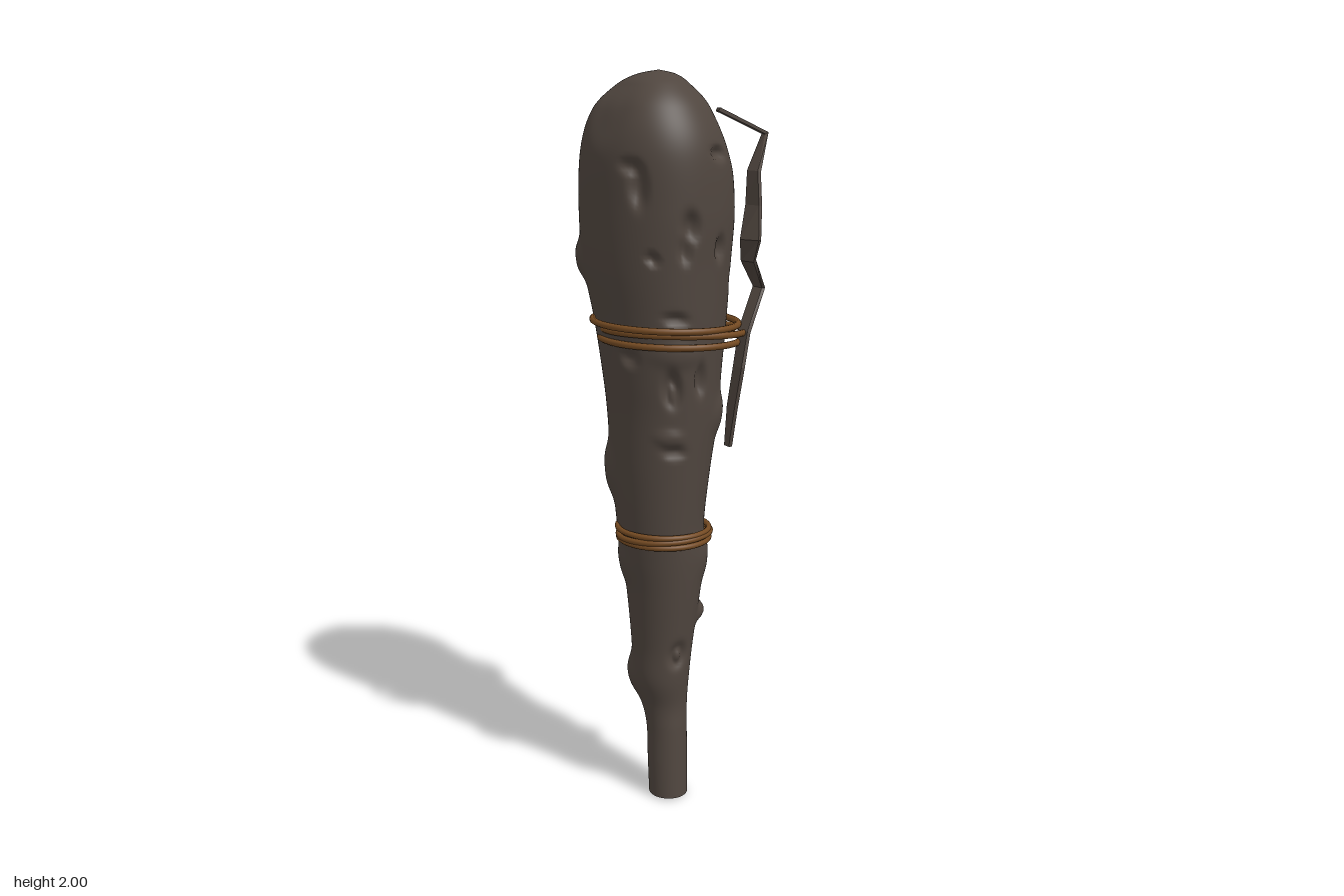
import * as THREE from 'three';

const bark = new THREE.MeshStandardMaterial({ color: 0x50463f });
bark.name = 'dark bark';
const cord = new THREE.MeshStandardMaterial({ color: 0x744a22 });
cord.name = 'brown cord';

// Club outline: [y, minX, maxX, frontZ, backZ]
const rows = [
  [0.005, -0.073, 0.035, 0.125, 0.008], [0.1, -0.075, 0.036, 0.12, 0.0], [0.2, -0.076, 0.037, 0.115, -0.012],
  [0.27, -0.088, 0.04, 0.112, -0.035], [0.35, -0.11, 0.046, 0.125, -0.055], [0.45, -0.113, 0.058, 0.13, -0.07],
  [0.6, -0.125, 0.08, 0.145, -0.093], [0.7, -0.14, 0.092, 0.155, -0.108], [0.8, -0.15, 0.09, 0.163, -0.12],
  [0.95, -0.162, 0.108, 0.175, -0.14], [1.1, -0.17, 0.132, 0.185, -0.16], [1.2, -0.18, 0.138, 0.193, -0.172],
  [1.35, -0.2, 0.153, 0.205, -0.2], [1.5, -0.226, 0.166, 0.216, -0.231], [1.65, -0.235, 0.176, 0.226, -0.246],
  [1.8, -0.23, 0.158, 0.225, -0.226], [1.9, -0.2, 0.112, 0.19, -0.177], [1.96, -0.142, 0.055, 0.135, -0.115],
  [1.988, -0.09, 0.018, 0.075, -0.055], [2.0, -0.03, -0.03, 0.01, 0.01],
];

// Knots (positive) and hollows (negative): [angle in degrees from +x towards +z, y, height, width, half height]
const knots = [
  [195, 1.51, 0.018, 0.04, 0.05], [190, 0.94, 0.018, 0.05, 0.07], [205, 0.34, 0.02, 0.05, 0.06],
  [180, 0.68, 0.008, 0.05, 0.05], [-8, 0.525, 0.026, 0.045, 0.028], [20, 0.7, 0.008, 0.05, 0.06],
  [25, 1.1, 0.01, 0.05, 0.05], [345, 1.68, 0.012, 0.06, 0.08], [90, 1.28, 0.007, 0.07, 0.03],
  [118, 1.71, -0.022, 0.022, 0.05], [124, 1.76, -0.015, 0.026, 0.018], [80, 1.61, -0.022, 0.024, 0.035],
  [84, 1.55, -0.018, 0.016, 0.03], [108, 1.53, -0.018, 0.016, 0.014], [50, 1.79, -0.018, 0.03, 0.016],
  [50, 1.55, -0.018, 0.02, 0.03], [92, 1.375, -0.014, 0.035, 0.014], [96, 1.19, -0.024, 0.024, 0.045],
  [96, 1.18, 0.014, 0.012, 0.025], [66, 1.21, -0.018, 0.018, 0.04], [92, 1.02, -0.013, 0.035, 0.014],
  [98, 1.06, 0.008, 0.04, 0.02], [72, 0.43, -0.02, 0.03, 0.035], [72, 0.43, 0.016, 0.015, 0.018],
  [135, 1.27, -0.014, 0.025, 0.02], [-42, 1.42, -0.02, 0.018, 0.045], [5, 1.46, -0.01, 0.05, 0.03],
  [-45, 1.89, -0.025, 0.08, 0.09], [150, 1.9, -0.012, 0.07, 0.08], [15, 1.84, -0.012, 0.05, 0.07],
];

const smooth = (a, b, c, d, t) =>
  0.5 * (2 * b + (c - a) * t + (2 * a - 5 * b + 4 * c - d) * t * t + (3 * b - a - 3 * c + d) * t ** 3);

function rowAt(u) {
  const i = Math.min(Math.floor(u), rows.length - 2);
  const at = (k) => rows[THREE.MathUtils.clamp(k, 0, rows.length - 1)];
  return rows[0].map((_, c) => smooth(at(i - 1)[c], at(i)[c], at(i + 1)[c], at(i + 2)[c], u - i));
}

function clubPoint(u, a) {
  const [y, x0, x1, z1, z0] = rowAt(u);
  const cx = (x0 + x1) / 2, cz = (z0 + z1) / 2, rx = (x1 - x0) / 2, rz = (z1 - z0) / 2;
  const egg = 0.05 * THREE.MathUtils.smoothstep(y, 0.3, 1.4);
  let d = 0;
  for (const [deg, ky, h, w, sy] of knots) {
    let da = a - THREE.MathUtils.degToRad(deg);
    da = Math.atan2(Math.sin(da), Math.cos(da)) * (rx + rz) / 2;
    const q = (da / w) ** 2 + ((y - ky) / sy) ** 2;
    d += h * Math.exp(-(q ** 1.6));
  }
  d *= Math.min(1, rx / 0.1);
  return [
    cx + (rx + d) * Math.cos(a), y,
    cz + rz * (Math.sin(a) - egg * Math.cos(a) ** 2) + d * Math.sin(a),
  ];
}

// Closed skin through egg-shaped cross-sections
function makeClub() {
  const around = 128, steps = 14 * (rows.length - 1), pos = [], index = [];
  for (let i = 0; i <= steps; i++)
    for (let j = 0; j < around; j++)
      pos.push(...clubPoint(i / 14, (j / around) * Math.PI * 2));
  for (let i = 0; i < steps; i++)
    for (let j = 0; j < around; j++) {
      const k = (j + 1) % around;
      const a = i * around + j, b = i * around + k;
      index.push(a, a + around, b + around);
      index.push(a, b + around, b);
    }
  // Flat butt with a hard edge
  const start = pos.length / 3;
  for (let j = 0; j < around; j++) pos.push(...clubPoint(0, (j / around) * Math.PI * 2));
  pos.push(-0.02, 0, 0.066);
  for (let j = 0; j < around; j++) index.push(start + around, start + j, start + ((j + 1) % around));
  const g = new THREE.BufferGeometry();
  g.setAttribute('position', new THREE.Float32BufferAttribute(pos, 3));
  g.setIndex(index);
  g.computeVertexNormals();
  return g;
}

// Splintered vine: thin rectangular section along a zigzag, [x, y, z, widthX, widthZ]
const vinePath = [
  [0.11, 1.9, 0.082, 0, 0.03], [0.238, 1.84, 0.08, 0, 0.032], [0.185, 1.745, 0.16, 0.012, 0.055],
  [0.18, 1.66, 0.178, 0.02, 0.055], [0.163, 1.575, 0.21, 0.035, 0.05], [0.17, 1.52, 0.17, 0.02, 0.05],
  [0.238, 1.435, 0.045, 0.01, 0.05], [0.172, 1.33, 0.135, 0.01, 0.05], [0.15, 1.24, 0.162, 0.01, 0.045],
  [0.138, 1.13, 0.145, 0.01, 0.04], [0.132, 1.02, 0.128, 0.006, 0.025],
];

function makeVine() {
  const pos = [];
  const rings = vinePath.map(([x, y, z, wx, wz], i) => {
    const p = vinePath[Math.max(i - 1, 0)], n = vinePath[Math.min(i + 1, vinePath.length - 1)];
    const along = new THREE.Vector3(n[0] - p[0], n[1] - p[1], n[2] - p[2]);
    const wide = new THREE.Vector3(wx, 0, wz).multiplyScalar(0.5);
    const thick = along.clone().cross(wide).normalize().multiplyScalar(0.005);
    return [[1, 1], [-1, 1], [-1, -1], [1, -1]].map(([s, t]) =>
      new THREE.Vector3(x, y, z).addScaledVector(wide, s).addScaledVector(thick, t));
  });
  const quad = (a, b, c, d) => [a, b, c, a, c, d].forEach((v) => pos.push(v.x, v.y, v.z));
  for (let i = 0; i < rings.length - 1; i++)
    for (let j = 0; j < 4; j++) {
      const k = (j + 1) % 4;
      quad(rings[i][j], rings[i][k], rings[i + 1][k], rings[i + 1][j]);
    }
  const end = rings[rings.length - 1];
  quad(rings[0][3], rings[0][2], rings[0][1], rings[0][0]);
  quad(end[0], end[1], end[2], end[3]);
  const g = new THREE.BufferGeometry();
  g.setAttribute('position', new THREE.Float32BufferAttribute(pos, 3));
  g.computeVertexNormals();
  return g;
}

// Cord loops: [x, y, z, radius, roll, pitch]
const upperLoops = [
  [-0.02, 1.352, 0.042, 0.194, -0.03, 0.02],
  [0.008, 1.328, 0.03, 0.194, -0.03, -0.03],
  [0.0, 1.304, 0.02, 0.19, -0.02, 0.01],
];
const lowerLoops = [
  [-0.028, 0.785, 0.046, 0.125, -0.02, 0.01],
  [-0.025, 0.77, 0.047, 0.126, 0.03, -0.02],
  [-0.026, 0.757, 0.044, 0.124, -0.01, 0.01],
];

function makeBinding(name, loops, thickness) {
  const binding = new THREE.Group();
  binding.name = name;
  for (const [x, y, z, r, roll, pitch] of loops) {
    const loop = new THREE.Mesh(new THREE.TorusGeometry(r, thickness, 10, 72).rotateX(Math.PI / 2), cord);
    loop.name = 'cordLoop';
    loop.position.set(x, y, z);
    loop.rotation.set(pitch, 0, roll);
    binding.add(loop);
  }
  return binding;
}

export function createModel() {
  const model = new THREE.Group();
  model.name = 'woodenClub';
  const club = new THREE.Mesh(makeClub(), bark);
  club.name = 'clubBody';
  const vine = new THREE.Mesh(makeVine(), bark);
  vine.name = 'zigzagVine';
  model.add(club, vine,
    makeBinding('upperBinding', upperLoops, 0.009),
    makeBinding('lowerBinding', lowerLoops, 0.008));
  return model;
}
